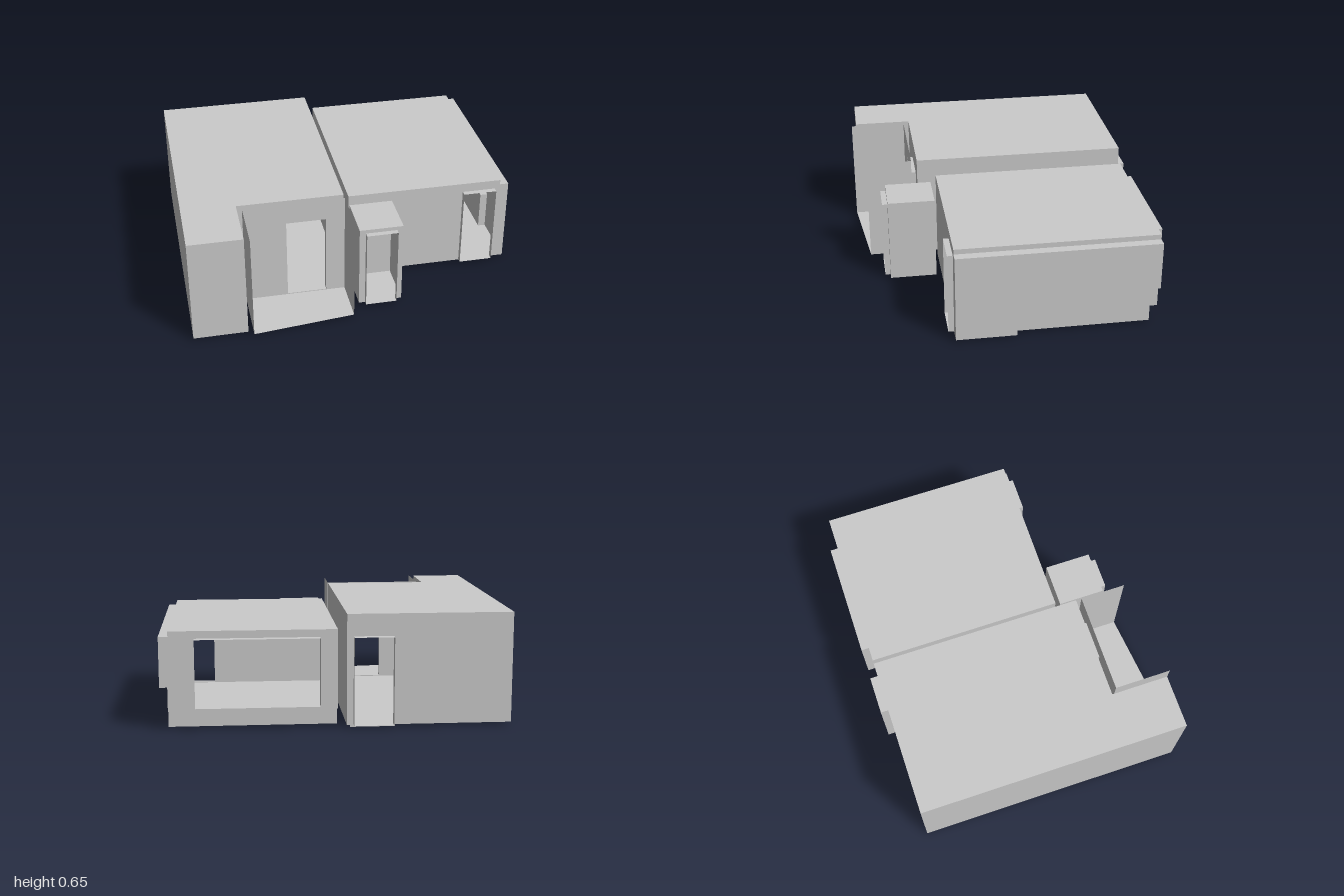
import * as THREE from 'three';

const material = new THREE.MeshStandardMaterial({ color: 0xcccccc, side: THREE.DoubleSide, flatShading: true });
const FLOOR = 0.013;

const rect = (a0, b0, a1, b1) => [[a0, b0], [a1, b0], [a1, b1], [a0, b1]];
const toPoints = (list) => list.map(([a, b]) => new THREE.Vector2(a, b));

// Flat panel lying across one axis; outline is (x,y) for 'z', (z,y) for 'x', (x,z) for 'y'.
function panel(group, name, axis, at, outline, holes = []) {
  const shape = new THREE.Shape(toPoints(outline));
  for (const hole of holes) shape.holes.push(new THREE.Path(toPoints(hole)));
  const geometry = new THREE.ShapeGeometry(shape);
  if (axis === 'x') geometry.rotateY(-Math.PI / 2);
  if (axis === 'y') geometry.rotateX(Math.PI / 2);
  const mesh = new THREE.Mesh(geometry, material);
  mesh.position[axis] = at;
  mesh.name = name;
  group.add(mesh);
}

// Open-ended lining of a door or window, running from z0 to z1.
function lining(group, name, [x0, y0, x1, y1], z0, z1) {
  const part = new THREE.Group();
  part.name = name;
  for (const x of [x0, x1]) panel(part, 'jamb', 'x', x, rect(z0, y0, z1, y1));
  panel(part, 'sill', 'y', y0, rect(x0, z0, x1, z1));
  panel(part, 'head', 'y', y1, rect(x0, z0, x1, z1));
  group.add(part);
}

function addGroup(parent, name) {
  const group = new THREE.Group();
  group.name = name;
  parent.add(group);
  return group;
}

export function createModel() {
  const model = new THREE.Group();
  model.name = 'houseRooms';

  const patioDoor = [-0.4, 0.018, -0.165, 0.52];
  const backDoor = [-0.317, 0.018, -0.09, 0.525];
  const backWindow = [0.1, 0.135, 0.803, 0.525];
  const gardenDoor = [0.712, 0.018, 0.915, 0.512];
  const closetDoor = [0.037, 0.018, 0.223, 0.503];

  // Tall L-shaped room
  const tall = addGroup(model, 'tallRoom');
  const T = 0.653;
  const plan = [[-1, -0.808], [-0.052, -0.808], [-0.052, 0.475], [-0.683, 0.475], [-0.683, 0.822], [-1, 0.822]];
  panel(tall, 'floor', 'y', FLOOR, plan);
  panel(tall, 'roof', 'y', T, plan);
  panel(tall, 'outerWall', 'x', -1, rect(-0.808, FLOOR, 0.822, T));
  panel(tall, 'innerWall', 'x', -0.052, rect(-0.808, FLOOR, 0.475, T));
  panel(tall, 'wingSideWall', 'x', -0.683, rect(0.475, FLOOR, 0.822, T));
  panel(tall, 'wingFrontWall', 'z', 0.822, rect(-1, FLOOR, -0.683, T));
  panel(tall, 'frontWall', 'z', 0.475, rect(-0.683, FLOOR, -0.052, T), [rect(...patioDoor)]);
  panel(tall, 'backWall', 'z', -0.808, rect(-1, FLOOR, -0.052, T), [rect(...backDoor)]);
  lining(tall, 'patioDoorLining', patioDoor, 0.475, 0.51);
  lining(tall, 'backDoorLining', backDoor, -0.855, -0.808);
  panel(tall, 'doorThreshold', 'z', -0.8, rect(-0.33, 0, -0.07, FLOOR));

  // Open patio with a slanted front edge
  const patio = addGroup(model, 'patio');
  panel(patio, 'floor', 'y', FLOOR, [[-0.653, 0.51], [-0.052, 0.51], [-0.052, 0.787], [-0.653, 0.852]]);
  panel(patio, 'outerWall', 'x', -0.653, rect(0.51, FLOOR, 0.852, T));
  panel(patio, 'innerWall', 'x', -0.052, rect(0.51, FLOOR, 0.787, T));
  panel(patio, 'rearWall', 'z', 0.51, rect(-0.653, FLOOR, -0.052, T), [rect(...patioDoor)]);

  // Low room: dropped roof edge, undercut along the side and the back
  const low = addGroup(model, 'lowRoom');
  const R = 0.568, E = 0.538, EX = 0.947, F = 0.365, B = -0.808;
  const SX = 0.955, SZ = 0.015, SY = 0.25, BZ = -0.765, BY = 0.11;
  panel(low, 'floor', 'y', FLOOR, [[0, F], [1, F], [1, SZ], [SX, SZ], [SX, BZ], [0, BZ]]);
  panel(low, 'roof', 'y', R, rect(0, B, EX, F));
  panel(low, 'roofEdge', 'y', E, rect(EX, B, 1, F));
  panel(low, 'roofStep', 'x', EX, rect(B, E, F, R));
  panel(low, 'frontWall', 'z', F,
    [[0, FLOOR], [1, FLOOR], [1, E], [EX, E], [EX, R], [0, R]], [rect(...gardenDoor)]);
  panel(low, 'backWall', 'z', B,
    [[0, BY], [SX, BY], [SX, SY], [1, SY], [1, E], [EX, E], [EX, R], [0, R]], [rect(...backWindow)]);
  panel(low, 'innerWall', 'x', 0, [[F, FLOOR], [F, R], [B, R], [B, BY], [BZ, BY], [BZ, FLOOR]]);
  panel(low, 'outerWall', 'x', 1, [[F, FLOOR], [F, E], [B, E], [B, SY], [SZ, SY], [SZ, FLOOR]]);
  panel(low, 'undercutSideWall', 'x', SX,
    [[SZ, FLOOR], [SZ, SY], [B, SY], [B, BY], [BZ, BY], [BZ, FLOOR]]);
  panel(low, 'undercutReturn', 'z', SZ, rect(SX, FLOOR, 1, SY));
  panel(low, 'sideSoffit', 'y', SY, rect(SX, B, 1, SZ));
  panel(low, 'undercutBackWall', 'z', BZ, rect(0, FLOOR, SX, BY));
  panel(low, 'backSoffit', 'y', BY, rect(0, B, SX, BZ));
  lining(low, 'windowLining', backWindow, -0.855, B);
  lining(low, 'gardenDoorLining', gardenDoor, F, 0.398);

  // Small closet in front
  const closet = addGroup(model, 'closet');
  const C = 0.526;
  for (const [name, y] of [['floor', FLOOR], ['roof', C]]) panel(closet, name, 'y', y, rect(0, 0.398, 0.26, 0.68));
  for (const x of [0, 0.26]) panel(closet, 'sideWall', 'x', x, rect(0.398, FLOOR, 0.68, C));
  panel(closet, 'rearWall', 'z', 0.398, rect(0, FLOOR, 0.26, C));
  panel(closet, 'frontWall', 'z', 0.68, rect(0, FLOOR, 0.26, C), [rect(...closetDoor)]);
  lining(closet, 'closetDoorLining', closetDoor, 0.68, 0.712);

  return model;
}
